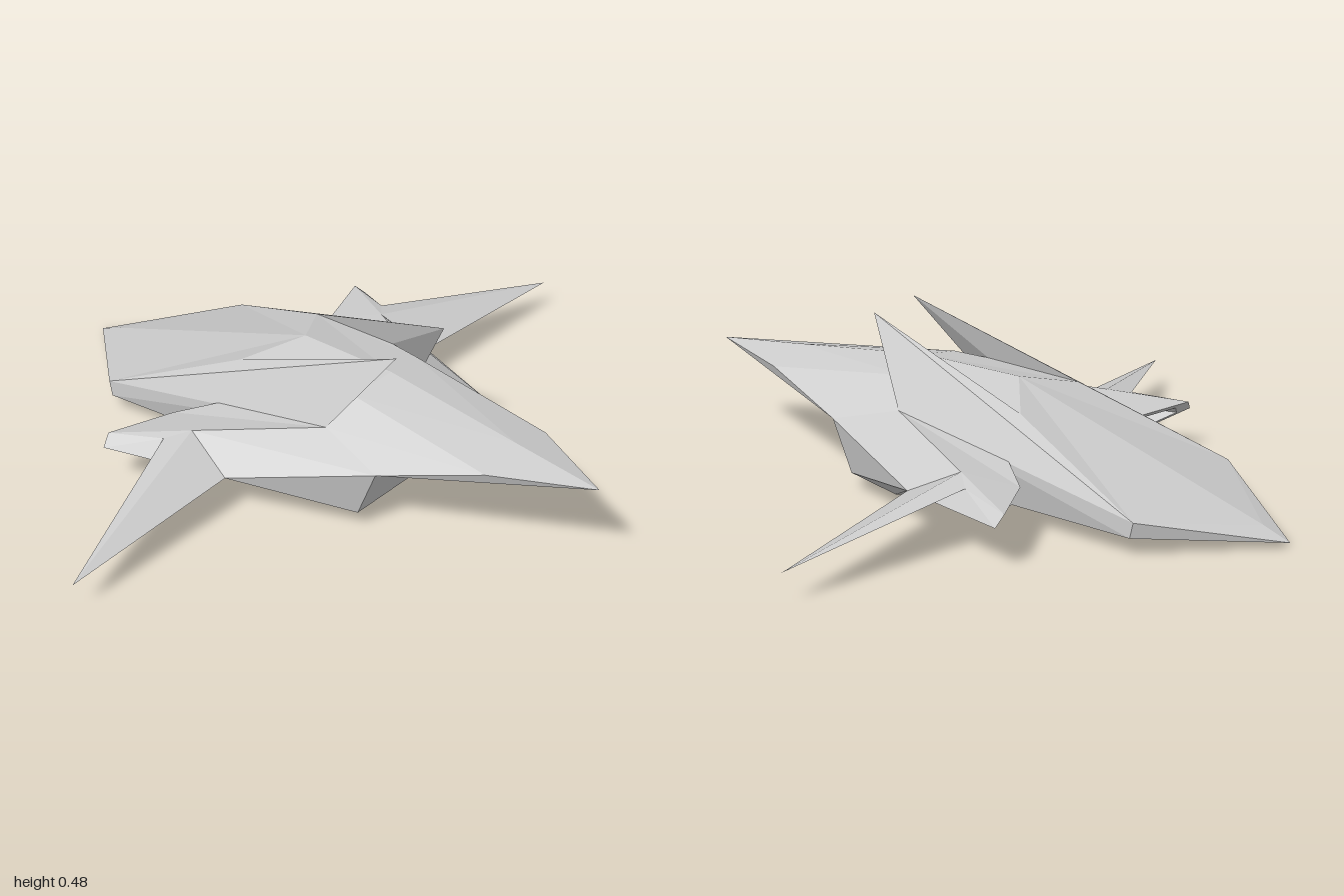
import * as THREE from 'three';

// Corner points of the left half; 'C' names lie on the centre line
const P = {
  noseTip: [0, .285, .92], noseTopC: [0, .308, .65], noseEdge: [.13, .275, .65],
  chin: [.24, .2, .37], chinC: [0, .2, .37], jaw: [.24, .05, .31], jawC: [0, .05, .31],
  roofC: [0, .347, .22], roof: [.13, .325, .2], shoulder: [.21, .25, .17],
  deckC: [0, .335, -.09], deck: [.16, .29, -.19],
  tailTopC: [0, .05, -.84], tailTip: [0, .015, -.92],
  tailCorner: [.28, .1, -.6], tailLow: [.28, .055, -.59], tailBellyC: [0, .03, -.58],
  keel: [.23, .01, .17], keelC: [0, .02, .17], step: [.22, .04, 0], stepC: [0, .04, 0],
  heel: [.24, 0, -.1], heelC: [0, .015, -.1], hip: [.22, .05, -.2], hipC: [0, .04, -.2],
  finTip: [.1, .48, .32], finBase: [.15, .315, .1],
  wingTip: [1, .09, 0], wingFront: [.43, .12, 0], wingTop: [.4, .193, -.15],
  wingRear: [.46, .175, -.2], wingBack: [.23, .185, -.19],
  ventIn: [.33, .155, -.29], ventTop: [.52, .155, -.355], ventOut: [.55, .125, -.345],
};

// Exhaust opening: an inset rim and a recessed floor inside the vent outline
const vent = ['heel', 'ventOut', 'ventTop', 'ventIn'];
const middle = [0, 1, 2].map(k => vent.reduce((s, n) => s + P[n][k], 0) / 4);
for (const n of vent) {
  P[n + 'Rim'] = P[n].map((v, k) => v + (middle[k] - v) * .3);
  P[n + 'Floor'] = P[n].map((v, k) => v + (middle[k] - v) * .5 + [0, .01, .05][k]);
}
const ventPanels = [vent.map(n => n + 'Floor').join(' ')];
vent.forEach((a, i) => {
  const b = vent[(i + 1) % 4];
  ventPanels.push(`${a} ${b} ${b}Rim ${a}Rim`, `${a}Rim ${b}Rim ${b}Floor ${a}Floor`);
});

// Each part is a list of panels, each panel a loop of corner names
const parts = {
  nose: [
    'noseTip noseEdge noseTopC', 'noseTopC noseEdge roof roofC',
    'noseEdge chin shoulder roof', 'noseTip chinC chin noseEdge',
  ],
  frontFace: ['chinC jawC jaw chin'],
  deck: [
    'roofC roof deck deckC', 'deckC deck tailCorner tailTopC',
    'roof shoulder finBase', 'roof finBase deck',
  ],
  tailPlate: [
    'tailCorner tailTip tailTopC', 'tailCorner tailLow tailTip',
    'shoulder hip tailLow tailCorner',
    'hipC tailBellyC tailLow hip', 'tailBellyC tailTip tailLow',
  ],
  belly: [
    'jawC keelC keel jaw', 'keelC stepC step keel',
    'stepC heelC heel step', 'heelC hipC hip heel',
  ],
  fin: [
    'shoulder tailCorner finTip', 'finTip tailCorner deck',
    'finTip deck finBase', 'finTip finBase shoulder',
  ],
  wingRoot: [
    'chin jaw wingFront wingTop', 'chin wingTop shoulder',
    'shoulder wingTop ventIn wingBack',
    'jaw keel wingFront', 'keel step wingFront', 'step heel wingFront',
    'heel hip wingBack ventIn',
  ],
  wingBlade: [
    'wingTip wingTop wingFront', 'wingTip wingRear wingTop', 'wingTip wingFront wingRear',
  ],
  exhaust: [
    'wingTop wingRear ventTop ventIn', 'wingRear ventOut ventTop',
    'wingFront ventOut wingRear', 'wingFront heel ventOut', ...ventPanels,
  ],
};

// Fan every panel into triangles, side = 1 for left and -1 for right
function panelGeometry(panels, side) {
  const positions = [];
  for (const panel of panels) {
    const loop = panel.split(' ').map(n => [P[n][0] * side, P[n][1], P[n][2]]);
    if (side < 0) loop.reverse();
    // keep the same fan corner on both sides
    if (side < 0) loop.unshift(loop.pop());
    for (let i = 1; i < loop.length - 1; i++) positions.push(...loop[0], ...loop[i], ...loop[i + 1]);
  }
  const g = new THREE.BufferGeometry();
  g.setAttribute('position', new THREE.Float32BufferAttribute(positions, 3));
  g.computeVertexNormals();
  return g;
}

export function createModel() {
  const model = new THREE.Group();
  model.name = 'spacecraft';
  const material = new THREE.MeshStandardMaterial({
    color: 0xcccccc, flatShading: true, side: THREE.DoubleSide,
  });
  for (const [name, panels] of Object.entries(parts)) {
    const part = new THREE.Group();
    part.name = name;
    for (const side of [1, -1]) {
      const mesh = new THREE.Mesh(panelGeometry(panels, side), material);
      mesh.name = name + (side > 0 ? 'Left' : 'Right');
      part.add(mesh);
    }
    model.add(part);
  }
  return model;
}
